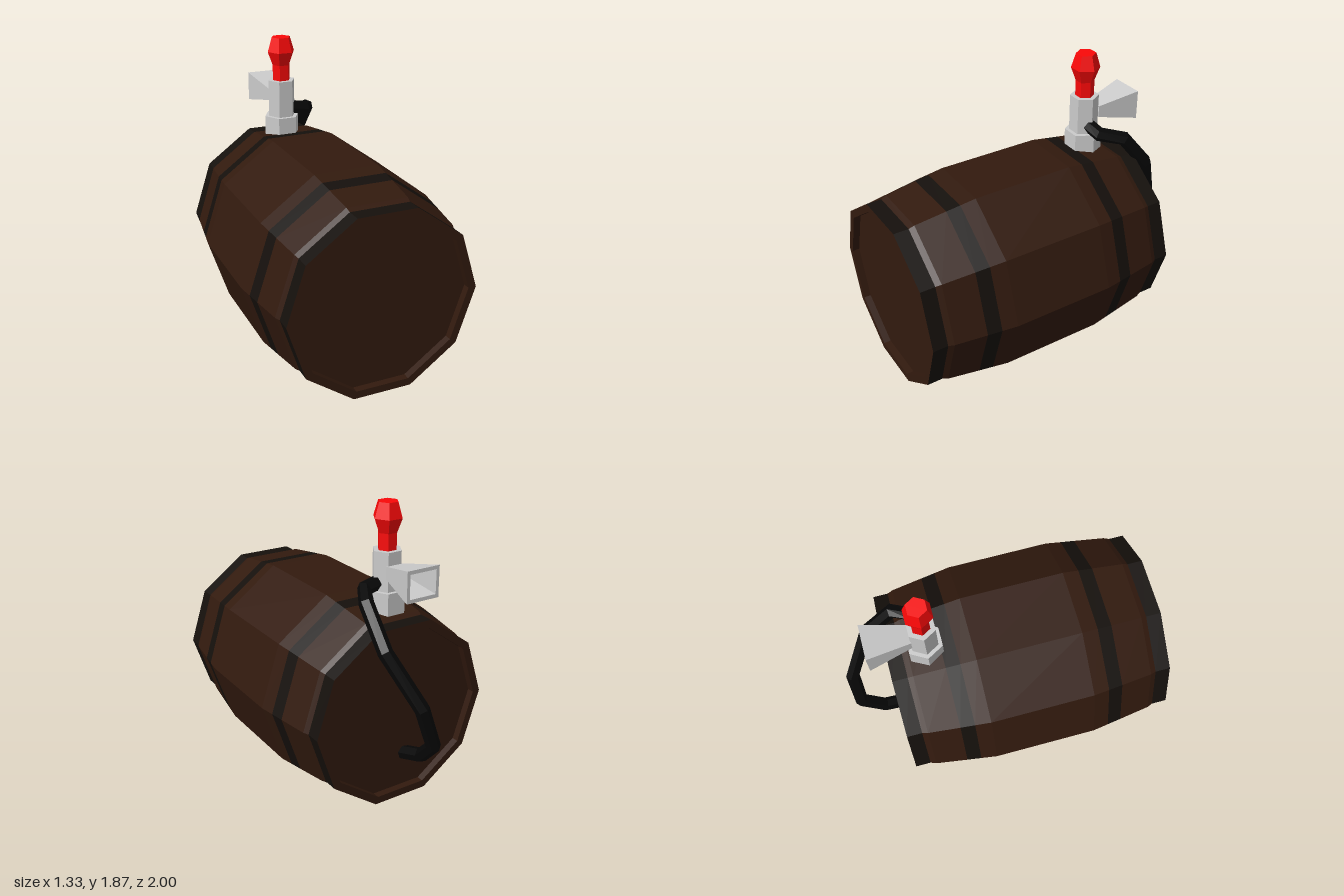
import * as THREE from 'three';

const material = (color, side = THREE.FrontSide) =>
  new THREE.MeshStandardMaterial({ color, side, flatShading: true });

// Faceted solid from [radius, height] pairs, with corners on the x axis
function faceted(points, sides, phi = Math.PI / 2) {
  return new THREE.LatheGeometry(points.map(([r, h]) => new THREE.Vector2(r, h)), sides, phi);
}

export function createModel() {
  const model = new THREE.Group();
  const wood = material(0x321a0e), iron = material(0x15100c);
  const metal = material(0xcccccc), red = material(0xfa0808), rubber = material(0x070707);

  const add = (parent, name, geometry, mat) => {
    const mesh = new THREE.Mesh(geometry, mat);
    mesh.name = name;
    parent.add(mesh);
    return mesh;
  };

  // Barrel lying along z: ten-sided rings of staves and hoops, back to front
  const barrel = new THREE.Group();
  barrel.name = 'barrel';
  barrel.position.y = 0.635;
  model.add(barrel);
  const ring = (name, points, mat) =>
    add(barrel, name, faceted(points, 10).rotateX(Math.PI / 2), mat);

  const END = 0.595, LIP = 0.545, BELLY = 0.667, RECESS = 0.045;
  ring('backHead', [[0, RECESS - 0.7], [LIP, RECESS - 0.7], [LIP, -0.7], [END, -0.7]], wood);
  ring('backEndHoop', [[END, -0.7], [END, -0.605]], iron);
  ring('backStaves', [[END, -0.605], [0.609, -0.57], [0.639, -0.37]], wood);
  ring('backHoop', [[0.639, -0.37], [0.652, -0.28]], iron);
  ring('middleStaves', [[0.652, -0.28], [BELLY, -0.18], [BELLY, 0.48], [0.652, 0.58]], wood);
  ring('frontHoop', [[0.652, 0.58], [0.639, 0.67]], iron);
  ring('frontStaves', [[0.639, 0.67], [0.609, 0.87], [END, 0.905]], wood);
  ring('frontEndHoop', [[END, 0.905], [END, 1]], iron);
  ring('frontHead', [[END, 1], [LIP, 1], [LIP, 1 - RECESS], [0, 1 - RECESS]], wood);

  // Hexagonal tap standing on the barrel
  const tap = new THREE.Group();
  tap.name = 'tap';
  tap.position.set(-0.035, 0, -0.457);
  model.add(tap);
  add(tap, 'tapBase', faceted([[0, 1.18], [0.118, 1.18], [0.118, 1.353], [0, 1.353]], 6), metal);
  add(tap, 'tapBody', faceted([[0, 1.353], [0.091, 1.353], [0.091, 1.592], [0, 1.592]], 6), metal);
  add(tap, 'tapHandle',
    faceted([[0.059, 1.59], [0.059, 1.693], [0.091, 1.78], [0.063, 1.873], [0, 1.873]], 6), red);

  // Hollow square spout flaring backwards
  const q = Math.SQRT2;
  const spout = faceted([[0.058 * q, 0.075], [0.11 * q, 0.343], [0.09 * q, 0.343], [0.04 * q, 0.12], [0, 0.12]],
    4, Math.PI / 4).rotateX(-Math.PI / 2);
  const p = spout.attributes.position;
  for (let i = 0; i < p.count; i++) {
    const y = p.getY(i);
    p.setY(i, Math.sign(y) * Math.max(0, Math.abs(y) * 1.1 - 0.026));
  }
  add(tap, 'spout', spout, material(0xcccccc, THREE.DoubleSide)).position.y = 1.475;

  // Hose from the tap down to the back head, one straight piece per point
  const path = new THREE.CatmullRomCurve3([
    [0.02, 1.4, -0.457], [0.127, 1.38, -0.465], [0.204, 1.347, -0.6], [0.204, 1.118, -0.79],
    [0.06, 0.797, -0.955], [-0.033, 0.535, -0.955], [-0.06, 0.396, -0.815], [-0.05, 0.335, -0.64],
  ].map((v) => new THREE.Vector3(...v)));
  path.getPointAt = path.getPoint;
  path.getTangentAt = path.getTangent;
  add(model, 'hose', new THREE.TubeGeometry(path, 7, 0.045, 6), rubber);

  return model;
}
